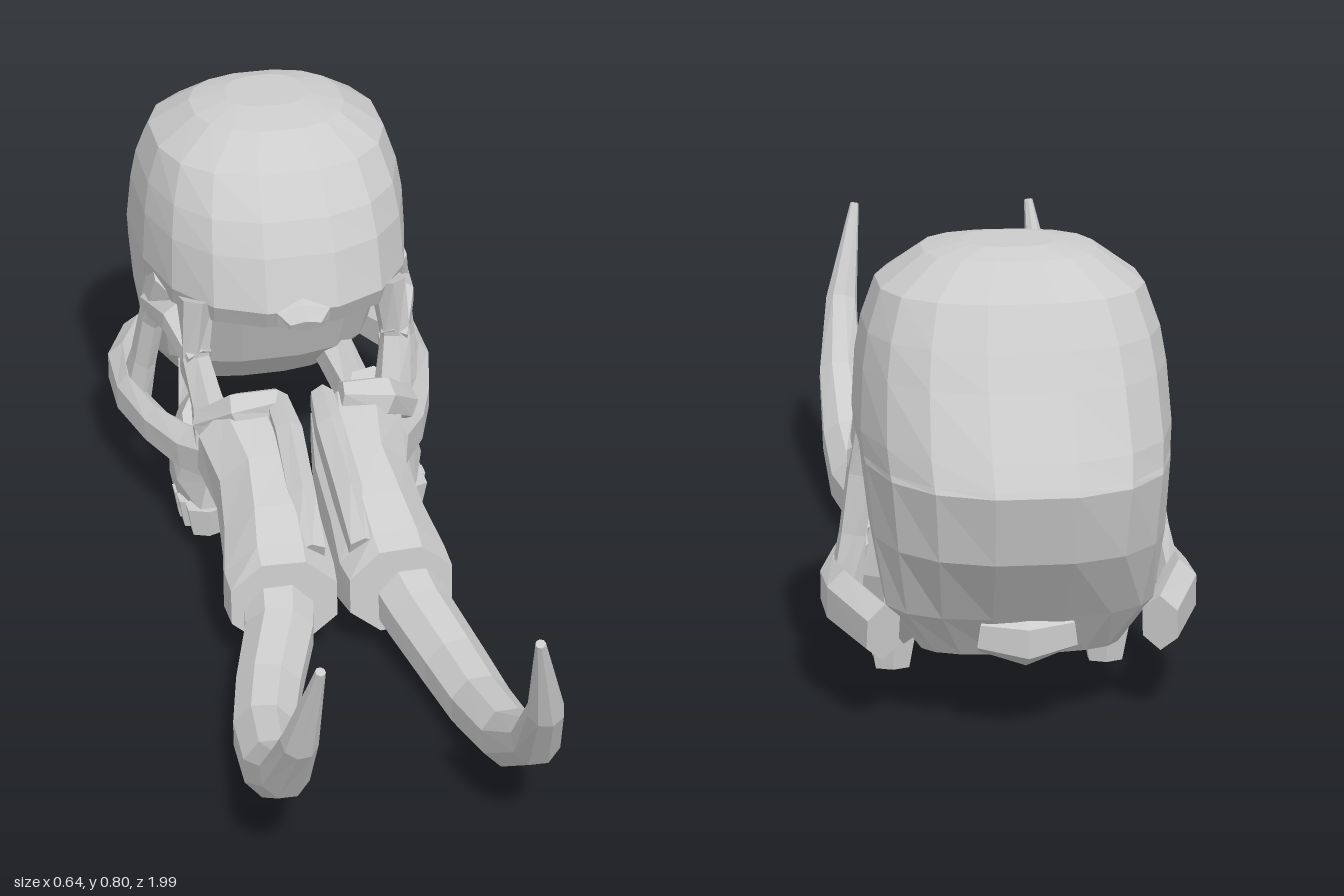
import * as THREE from 'three';

const material = new THREE.MeshStandardMaterial({ color: 0xcccccc, flatShading: true });

// Closed, flat-shaded skin over a list of rings; faces are turned outward by signed volume.
function loft(name, rings) {
  const n = rings[0].length;
  const tris = [];
  for (let i = 0; i < rings.length - 1; i++) {
    for (let j = 0; j < n; j++) {
      const k = (j + 1) % n;
      const [a, b, c, d] = [rings[i][j], rings[i][k], rings[i + 1][k], rings[i + 1][j]];
      tris.push([a, b, c], [a, c, d]);
    }
  }
  const last = rings[rings.length - 1];
  for (let j = 1; j < n - 1; j++) {
    tris.push([rings[0][0], rings[0][j + 1], rings[0][j]], [last[0], last[j], last[j + 1]]);
  }
  const cross = new THREE.Vector3();
  const volume = tris.reduce((sum, [a, b, c]) => sum + a.dot(cross.crossVectors(b, c)), 0);
  const points = tris.flatMap(t => (volume < 0 ? [t[0], t[2], t[1]] : t));
  const geometry = new THREE.BufferGeometry().setFromPoints(points);
  geometry.computeVertexNormals();
  const mesh = new THREE.Mesh(geometry, material);
  mesh.name = name;
  return mesh;
}

// Bone bar along stations [x, y, z, half width, half height], with n-sided sections.
function bar(name, stations, n = 6, ref = new THREE.Vector3(0, 1, 0)) {
  const pos = stations.map(s => new THREE.Vector3(s[0], s[1], s[2]));
  const rings = stations.map((s, i) => {
    const t = pos[Math.min(i + 1, pos.length - 1)].clone().sub(pos[Math.max(i - 1, 0)]).normalize();
    const u = new THREE.Vector3().crossVectors(ref, t).normalize();
    const v = new THREE.Vector3().crossVectors(t, u);
    return Array.from({ length: n }, (_, j) => {
      const a = ((j + 0.5) / n) * Math.PI * 2;
      return pos[i].clone().addScaledVector(u, Math.cos(a) * s[3]).addScaledVector(v, Math.sin(a) * s[4]);
    });
  });
  return loft(name, rings);
}

// Domed cranium from horizontal sections [y, front z, widest z, back z, half width].
function cranium() {
  const levels = [
    [0.13, -0.66, -0.75, -0.82, 0.17], [0.21, -0.58, -0.74, -0.88, 0.23],
    [0.33, -0.53, -0.7, -0.97, 0.25], [0.45, -0.47, -0.66, -1, 0.262],
    [0.46, -0.27, -0.64, -0.995, 0.264], [0.5, -0.25, -0.63, -0.97, 0.268],
    [0.6, -0.285, -0.62, -0.9, 0.262], [0.66, -0.32, -0.62, -0.86, 0.252],
    [0.73, -0.385, -0.61, -0.81, 0.228], [0.785, -0.46, -0.6, -0.73, 0.15],
    [0.8, -0.54, -0.6, -0.68, 0.08],
  ];
  const bend = v => Math.sign(v) * Math.abs(v) ** 0.82;
  return loft('cranium', levels.map(([y, front, mid, back, w]) =>
    Array.from({ length: 16 }, (_, j) => {
      const a = ((j + 0.5) / 16) * Math.PI * 2;
      const s = bend(Math.sin(a));
      return new THREE.Vector3(w * bend(Math.cos(a)), y, mid + Math.abs(s) * ((s > 0 ? front : back) - mid));
    })));
}

// Everything that is paired; side is +1 for left, -1 for right.
function sidePart(side) {
  const group = new THREE.Group();
  group.name = side > 0 ? 'leftSide' : 'rightSide';
  const forward = new THREE.Vector3(0, 0, 1);
  const paired = (name, stations, n, ref, centre = 0) =>
    group.add(bar(name, stations.map(([x, ...rest]) => [centre + side * x, ...rest]), n, ref));

  // Tusk socket of the snout
  paired('tuskSocket', [
    [0.14, 0.24, -0.31, 0.04, 0.05], [0.115, 0.245, -0.22, 0.095, 0.1],
    [0.095, 0.21, -0.1, 0.095, 0.105], [0.1, 0.165, 0.01, 0.1, 0.115],
    [0.108, 0.125, 0.11, 0.112, 0.115], [0.112, 0.13, 0.18, 0.108, 0.09],
  ], 8, undefined, -0.02);

  // Raised ridge beside the nasal slit and knob at the snout root
  paired('nasalRidge', [
    [0.045, 0.33, -0.21, 0.025, 0.035], [0.04, 0.31, -0.12, 0.03, 0.04],
    [0.045, 0.25, 0.02, 0.03, 0.045], [0.05, 0.2, 0.13, 0.03, 0.03],
  ], 6, undefined, -0.02);
  paired('cheekKnob', [
    [0.06, 0.34, -0.2, 0.03, 0.025], [0.14, 0.325, -0.2, 0.045, 0.04], [0.2, 0.27, -0.25, 0.03, 0.035],
  ], 6);

  // Tusks curve unevenly, so each has its own sideways sweep
  const sweep = side > 0 ? [0.1, 0.12, 0.15, 0.167, 0.175, 0.178, 0.165, 0.13]
    : [-0.13, -0.15, -0.2, -0.235, -0.255, -0.265, -0.26, -0.24];
  const tusk = [
    [0.115, 0.1, 0.075], [0.09, 0.22, 0.068], [0.068, 0.36, 0.064], [0.067, 0.49, 0.06],
    [0.112, 0.66, 0.054], [0.215, 0.815, 0.045], [0.35, 0.915, 0.033], [0.54, 0.99, 0.009],
  ];
  group.add(bar('tusk', tusk.map(([y, z, r], i) => [sweep[i], y, z, r, r]), 8));

  // Cheek arch sweeping from the snout to the back of the skull
  paired('cheekArch', [
    [0.15, 0.22, -0.18, 0.045, 0.06], [0.215, 0.19, -0.3, 0.04, 0.05], [0.265, 0.18, -0.42, 0.03, 0.045],
    [0.3, 0.18, -0.55, 0.025, 0.05], [0.29, 0.185, -0.66, 0.035, 0.055], [0.235, 0.17, -0.8, 0.035, 0.05],
  ], 6);

  // Bars in front of and behind the eye socket
  paired('frontOrbitBar', [
    [0.165, 0.2, -0.25, 0.06, 0.05], [0.185, 0.3, -0.29, 0.035, 0.045],
    [0.2, 0.38, -0.335, 0.03, 0.035], [0.19, 0.49, -0.37, 0.035, 0.07],
  ], 6, forward);
  paired('rearOrbitBar', [
    [0.28, 0.18, -0.57, 0.03, 0.07], [0.265, 0.27, -0.55, 0.025, 0.045],
    [0.25, 0.37, -0.53, 0.025, 0.04], [0.225, 0.49, -0.5, 0.03, 0.08],
  ], 6, forward);
  paired('orbitRim', [
    [0.195, 0.38, -0.32, 0.03, 0.03], [0.225, 0.43, -0.4, 0.03, 0.035], [0.25, 0.4, -0.53, 0.025, 0.03],
  ], 6);
  paired('orbitSpur', [
    [0.19, 0.31, -0.3, 0.025, 0.035], [0.2, 0.33, -0.4, 0.022, 0.03], [0.2, 0.31, -0.44, 0.012, 0.015],
  ], 5);

  // Upper jaw block, its rear plate and row of worn teeth
  paired('upperJaw', [
    [0.17, 0.2, -0.33, 0.06, 0.13], [0.185, 0.13, -0.36, 0.065, 0.16], [0.195, 0.055, -0.37, 0.05, 0.14],
  ], 8, forward);
  paired('jawPlate', [
    [0.18, 0.1, -0.42, 0.04, 0.08], [0.17, 0.13, -0.53, 0.035, 0.06], [0.14, 0.19, -0.66, 0.04, 0.05],
  ], 6);
  for (let i = 0; i < 6; i++) {
    const tooth = new THREE.Mesh(new THREE.CylinderGeometry(0.046, 0.034, 0.06, 6), material);
    tooth.name = 'tooth';
    tooth.position.set(side * (0.2 + 0.01 * Math.sin(i)), 0.072 - i * 0.008, -0.235 - i * 0.048);
    tooth.scale.z = 0.68;
    group.add(tooth);
  }
  return group;
}

export function createModel() {
  const model = new THREE.Group();
  model.name = 'tuskedSkull';
  model.add(cranium(), sidePart(1), sidePart(-1));

  // Small overhanging brow knob above the nasal opening
  model.add(bar('browKnob', [
    [0, 0.5, -0.32, 0.09, 0.05], [0, 0.485, -0.26, 0.06, 0.032], [0, 0.475, -0.238, 0.035, 0.015],
  ], 6));

  // Occipital knobs low on the back of the skull
  model.add(bar('neckJoint', [
    [-0.07, 0.18, -0.83, 0.05, 0.04], [0, 0.17, -0.85, 0.05, 0.05], [0.07, 0.18, -0.83, 0.05, 0.04],
  ], 6));
  return model;
}
